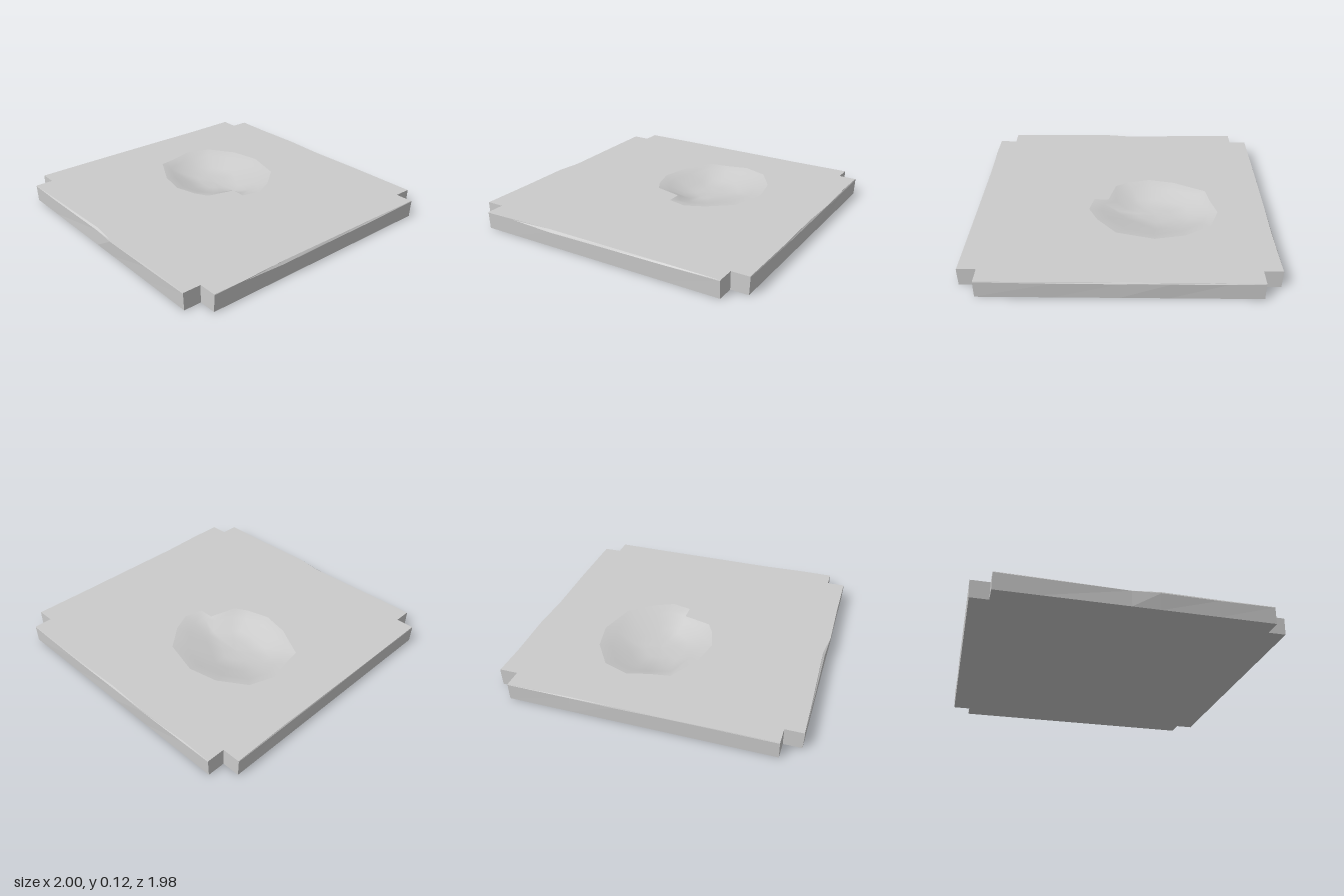
import * as THREE from 'three';

const TOP = 0.117;
const grey = () => new THREE.MeshStandardMaterial({ color: 0xcccccc });

// Joins equal-length rings of [x, y, z] points, each running counter-clockwise seen from above.
function loft(rings, smooth) {
  const n = rings[0].length, index = [];
  for (let r = 0; r < rings.length - 1; r++) {
    for (let i = 0; i < n; i++) {
      const a = r * n + i, b = r * n + (i + 1) % n;
      index.push(a, b, b + n, a, b + n, a + n);
    }
  }
  let g = new THREE.BufferGeometry();
  g.setAttribute('position', new THREE.Float32BufferAttribute(rings.flat(2), 3));
  g.setIndex(index);
  if (!smooth) g = g.toNonIndexed();
  g.computeVertexNormals();
  return g;
}

// Edge wear per side: [position along side, outward bulge, top inset, shoulder height]
const WEAR = [
  [[-0.65, 0, 0, 0.112], [-0.34, 0.001, 0.012, 0.1], [0.1, 0, 0.008, 0.104], [0.5, 0.001, 0.008, 0.107]],
  [[-0.4, 0.003, 0.004, 0.108], [0, 0, 0.008, 0.106], [0.3, 0.005, 0.002, 0.108], [0.65, 0, 0.006, 0.108]],
  [[-0.45, -0.002, 0.005, 0.11], [-0.15, 0, 0.003, 0.108], [0.1, 0, 0.002, 0.112], [0.5, 0, 0.001, 0.112]],
  [[-0.6, 0, 0.006, 0.109], [-0.05, -0.006, 0.014, 0.107], [0.13, 0.007, 0.003, 0.108], [0.5, 0.002, 0.004, 0.108]],
];

// Outline of the slab with its four notched corners at three levels
function slabRings() {
  const bottom = [], shoulder = [], top = [];
  WEAR.forEach((wear, side) => {
    const turn = (x, y, z) => {
      for (let k = 0; k < side; k++) [x, z] = [z, -x];
      return [x, y, z];
    };
    for (const [t, bulge, inset, h] of [[-0.87, 0, 0.002, 0.112], ...wear, [0.87, 0, 0.002, 0.112]]) {
      bottom.push(turn(t, 0, 0.987));
      shoulder.push(turn(t, h, 0.992 + bulge));
      top.push(turn(t, TOP, 0.992 + bulge - inset));
    }
    bottom.push(turn(0.87, 0, 0.87));
    shoulder.push(turn(0.87, 0.112, 0.87));
    top.push(turn(0.87, TOP, 0.87));
  });
  return [bottom, shoulder, top];
}

// Crater contours as [x, z], from rim to floor
const RIM = [[-0.08, -0.6], [0.05, -0.62], [0.2, -0.66], [0.37, -0.6], [0.49, -0.42], [0.53, -0.22], [0.46, 0.03],
  [0.3, 0.16], [0.17, 0.22], [0.04, 0.19], [0.04, 0.09], [-0.15, 0.04], [-0.2, -0.05], [-0.24, -0.2], [-0.2, -0.38]];
const LIP = [[-0.06, -0.53], [0.08, -0.57], [0.2, -0.59], [0.32, -0.54], [0.41, -0.4], [0.45, -0.22], [0.38, -0.03],
  [0.26, 0.08], [0.16, 0.13], [0.07, 0.12], [0.03, 0.04], [-0.08, 0], [-0.14, -0.08], [-0.17, -0.22], [-0.13, -0.36]];
const FLOOR = [[0.02, -0.46], [0.1, -0.46], [0.18, -0.47], [0.25, -0.42], [0.3, -0.34], [0.32, -0.24], [0.25, -0.13],
  [0.2, -0.04], [0.14, 0], [0.09, 0.02], [0.06, -0.04], [0, -0.08], [-0.05, -0.12], [-0.06, -0.22], [-0.03, -0.36]];

function craterRings() {
  const level = (pts, y) => pts.map(([x, z]) => [x, y, z]).reverse();
  const shrink = s => FLOOR.map(([x, z]) => [0.12 + (x - 0.12) * s, -0.23 + (z + 0.23) * s]);
  return [level(RIM, TOP), level(LIP, 0.098), level(FLOOR, 0.052), level(shrink(0.5), 0.042), level(shrink(0), 0.04)];
}

export function createModel() {
  const group = new THREE.Group();
  const add = (name, geometry) => {
    const mesh = new THREE.Mesh(geometry, grey());
    mesh.name = name;
    group.add(mesh);
  };

  const slab = slabRings(), crater = craterRings();
  const flat = (ring, sign) => ring.map(([x, , z]) => new THREE.Vector2(x, sign * z));

  // Walls with the worn upper edge
  add('slabSides', loft(slab, false));

  // Upper face with an opening for the crater
  const face = new THREE.Shape(flat(slab[2], -1));
  face.holes.push(new THREE.Path(flat(crater[0], -1)));
  add('topFace', new THREE.ShapeGeometry(face).rotateX(-Math.PI / 2).translate(0, TOP, 0));

  // Irregular hollow
  add('crater', loft(crater, true));

  // Underside
  add('underside', new THREE.ShapeGeometry(new THREE.Shape(flat(slab[0], 1))).rotateX(Math.PI / 2));

  return group;
}
